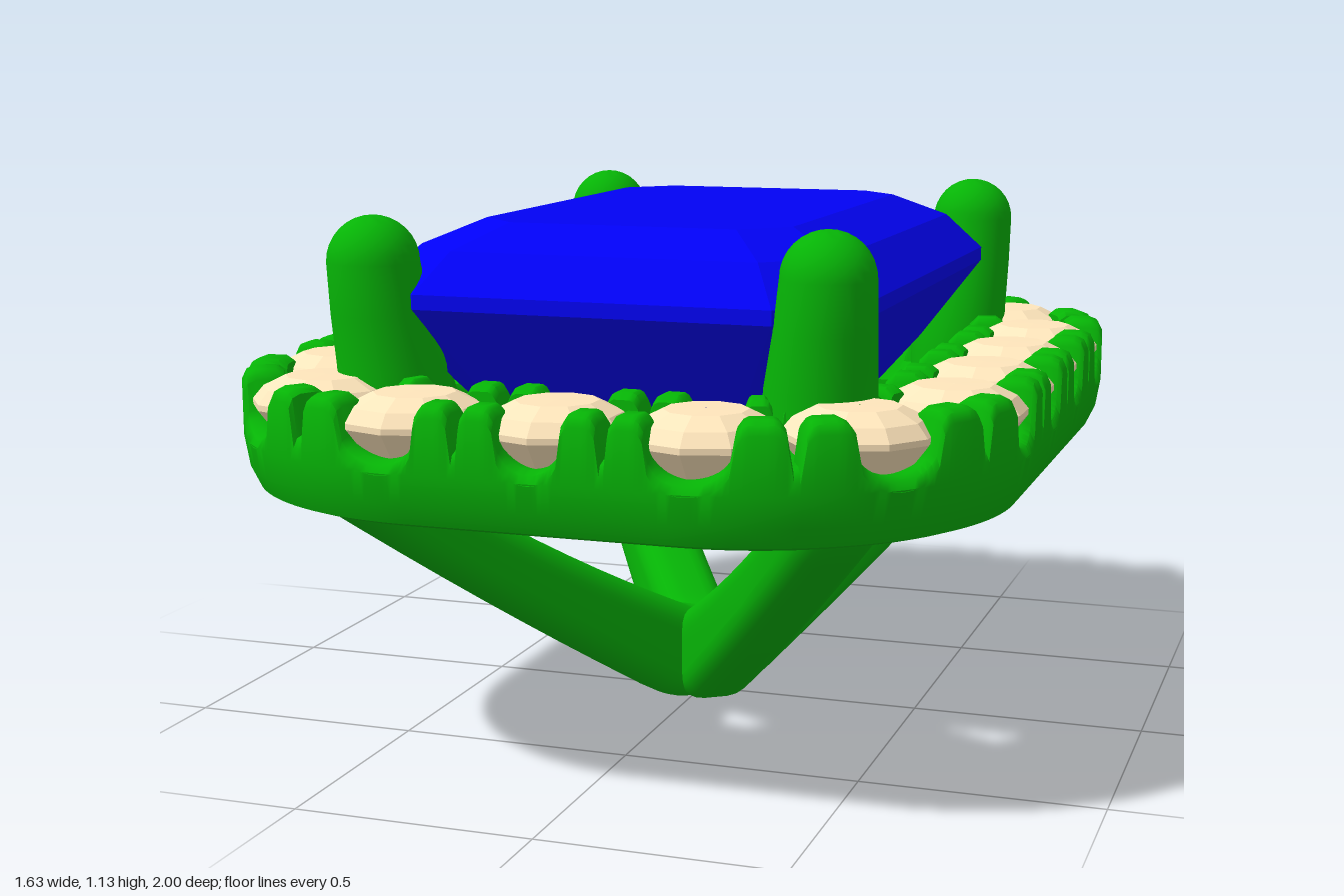
import * as THREE from 'three';
import { toCreasedNormals } from 'three/addons/utils/BufferGeometryUtils.js';

const metal = new THREE.MeshStandardMaterial({ color: 0x06b406 });
const blue = new THREE.MeshStandardMaterial({ color: 0x0202f4, flatShading: true });
const cream = new THREE.MeshStandardMaterial({ color: 0xffe6bc, flatShading: true });

function add(parent, name, geometry, material) {
  const mesh = new THREE.Mesh(geometry, material);
  mesh.name = name;
  parent.add(mesh);
  return mesh;
}

// Skin a grid of cross-sections; each row is a closed loop of [x, y, z]
function skin(rows, wrapRows) {
  const n = rows[0].length, index = [];
  const count = wrapRows ? rows.length : rows.length - 1;
  for (let i = 0; i < count; i++) {
    for (let j = 0; j < n; j++) {
      const k = ((i + 1) % rows.length) * n, j1 = (j + 1) % n;
      const a = i * n + j, b = i * n + j1, c = k + j, d = k + j1;
      index.push(a, b, c, b, d, c);
    }
  }
  const g = new THREE.BufferGeometry();
  g.setAttribute('position', new THREE.Float32BufferAttribute(rows.flat(2), 3));
  g.setIndex(index);
  g.computeVertexNormals();
  return g;
}

// Small stone positions: rows of three, rows of four and the corners
function stonePositions() {
  const list = [];
  for (const s of [-1, 1]) {
    for (const x of [-0.293, 0, 0.293]) list.push([x, s * 0.85]);
    for (const z of [-0.44, -0.147, 0.147, 0.44]) list.push([s * 0.665, z]);
    for (const t of [-1, 1]) list.push([s * 0.55, t * 0.725]);
  }
  return list;
}

// Channel ring whose walls are scalloped at each stone and notched between them
function haloGeometry(stones) {
  const X = 0.66, Z = 0.843, r = 0.4, N = 640;
  const path = new THREE.Shape();
  path.absarc(X - r, Z - r, r, 0, Math.PI / 2);
  path.absarc(r - X, Z - r, r, Math.PI / 2, Math.PI);
  path.absarc(r - X, r - Z, r, Math.PI, Math.PI * 1.5);
  path.absarc(X - r, r - Z, r, Math.PI * 1.5, Math.PI * 2);
  path.closePath();
  const pts = path.getSpacedPoints(N).slice(0, N);
  const step = path.getLength() / N;
  const marks = stones.map(([x, z]) => {
    let best = 0;
    const at = new THREE.Vector2(x, z);
    pts.forEach((p, i) => { if (p.distanceTo(at) < pts[best].distanceTo(at)) best = i; });
    return best;
  });
  const rows = pts.map((p, i) => {
    const t = pts[(i + 1) % N].clone().sub(pts[(i + N - 1) % N]).normalize();
    const d = marks.map((m) => {
      const k = Math.abs(m - i);
      return Math.min(k, N - k) * step;
    }).sort((a, b) => a - b);
    const gap = (d[1] - d[0]) / 2;
    let top = 0.815;
    if (d[0] < 0.064) top = 0.765 - Math.sqrt(0.0041 - d[0] * d[0]);
    else if (gap < 0.009) top = 0.73;
    else top -= 0.025 * Math.max(0, 1 - Math.min(d[0] - 0.064, gap - 0.009) / 0.02) ** 2;
    const floor = Math.min(0.72, top);
    const section = [
      [0.1, 0.57], [0.128, 0.58], [0.147, 0.62], [0.157, 0.68],
      [0.157, top - 0.025], [0.148, top - 0.007], [0.13, top], [0.09, top], [0.073, top - 0.012], [0.068, floor],
      [-0.068, floor], [-0.073, top - 0.012], [-0.09, top], [-0.13, top], [-0.15, top - 0.02],
      [-0.155, 0.67], [-0.21, 0.63], [-0.21, 0.575], [-0.2, 0.57],
    ];
    return section.map(([o, y]) => [p.x + t.y * o, y, p.y - t.x * o]);
  });
  return toCreasedNormals(skin(rows, true), 0.75);
}

// Step-cut stone: cut-corner rectangles [half x, half z, corner cut, y], top to bottom
function centreGeometry() {
  const layers = [
    [0.001, 0.001, 0.0005, 1.105], [0.33, 0.505, 0.09, 1.105], [0.44, 0.62, 0.12, 1.055],
    [0.515, 0.695, 0.145, 0.975], [0.515, 0.695, 0.145, 0.945], [0.39, 0.575, 0.11, 0.77],
    [0.235, 0.42, 0.065, 0.585], [0.002, 0.19, 0.001, 0.437],
  ];
  return skin(layers.map(([x, z, c, y]) => [
    [x, y, c - z], [x, y, z - c], [x - c, y, z], [c - x, y, z],
    [-x, y, z - c], [-x, y, c - z], [c - x, y, -z], [x - c, y, -z],
  ]), false);
}

// Round-topped claw that leans inward towards its foot
function clawGeometry() {
  const profile = [[0.001, 0.6], [0.11, 0.6], [0.113, 0.72], [0.11, 0.82], [0.1, 0.93]]
    .map(([x, y]) => new THREE.Vector2(x, y));
  for (let i = 0; i <= 8; i++) {
    const a = (i / 8) * Math.PI / 2;
    profile.push(new THREE.Vector2(Math.max(0.0005, 0.093 * Math.cos(a)), 1.034 + 0.093 * Math.sin(a)));
  }
  const g = new THREE.LatheGeometry(profile, 28);
  const p = g.attributes.position;
  for (let i = 0; i < p.count; i++) {
    const lean = 0.2 * Math.min(0.2, Math.max(0, 1.0 - p.getY(i)));
    p.setX(i, p.getX(i) - lean);
  }
  g.computeVertexNormals();
  return toCreasedNormals(g, 0.9);
}

// V-shaped pair of rounded struts meeting in a small foot
function strutGeometry() {
  const s = new THREE.Shape();
  s.moveTo(-1.0, 0.66);
  s.lineTo(-0.95, 0.56);
  s.quadraticCurveTo(-0.56, 0.28, -0.17, 0.04);
  s.quadraticCurveTo(-0.11, 0, -0.06, 0);
  s.lineTo(0.06, 0);
  s.quadraticCurveTo(0.11, 0, 0.17, 0.04);
  s.quadraticCurveTo(0.56, 0.28, 0.95, 0.56);
  s.lineTo(1.0, 0.66);
  s.lineTo(0.66, 0.66);
  s.lineTo(0.67, 0.55);
  s.quadraticCurveTo(0.38, 0.36, 0.07, 0.215);
  s.quadraticCurveTo(0, 0.175, -0.07, 0.215);
  s.quadraticCurveTo(-0.38, 0.36, -0.67, 0.55);
  s.lineTo(-0.66, 0.66);
  const g = new THREE.ExtrudeGeometry(s, {
    depth: 0.05, bevelEnabled: true, bevelSize: 0.055, bevelOffset: -0.055,
    bevelThickness: 0.055, bevelSegments: 5, curveSegments: 8,
  });
  g.translate(0, 0, -0.025);
  return toCreasedNormals(g, 0.8);
}

export function createModel() {
  const model = new THREE.Group();
  model.name = 'jewelSetting';
  const stones = stonePositions();

  add(model, 'haloRing', haloGeometry(stones), metal);
  add(model, 'centreStone', centreGeometry(), blue);

  // Round stones set in the ring
  const cut = [[0.001, 0.66], [0.1, 0.69], [0.147, 0.752], [0.147, 0.764], [0.125, 0.79], [0.08, 0.812], [0.001, 0.813]];
  const round = new THREE.LatheGeometry(cut.map(([x, y]) => new THREE.Vector2(x, y)), 10);
  const accents = new THREE.Group();
  accents.name = 'accentStones';
  model.add(accents);
  for (const [x, z] of stones) {
    add(accents, 'accentStone', round, cream).position.set(x, 0, z);
  }

  // Corner claws
  const claw = clawGeometry();
  for (const sx of [-1, 1]) {
    for (const sz of [-1, 1]) {
      const m = add(model, 'claw', claw, metal);
      m.position.set(sx * 0.47, 0, sz * 0.66);
      m.rotation.y = -Math.atan2(sz * 0.66, sx * 0.47);
    }
  }

  // Crossed struts under the ring
  const strut = strutGeometry();
  for (const s of [-1, 1]) {
    add(model, 'strutPair', strut, metal).rotation.y = s * Math.atan2(0.66, 0.47);
  }
  return model;
}
